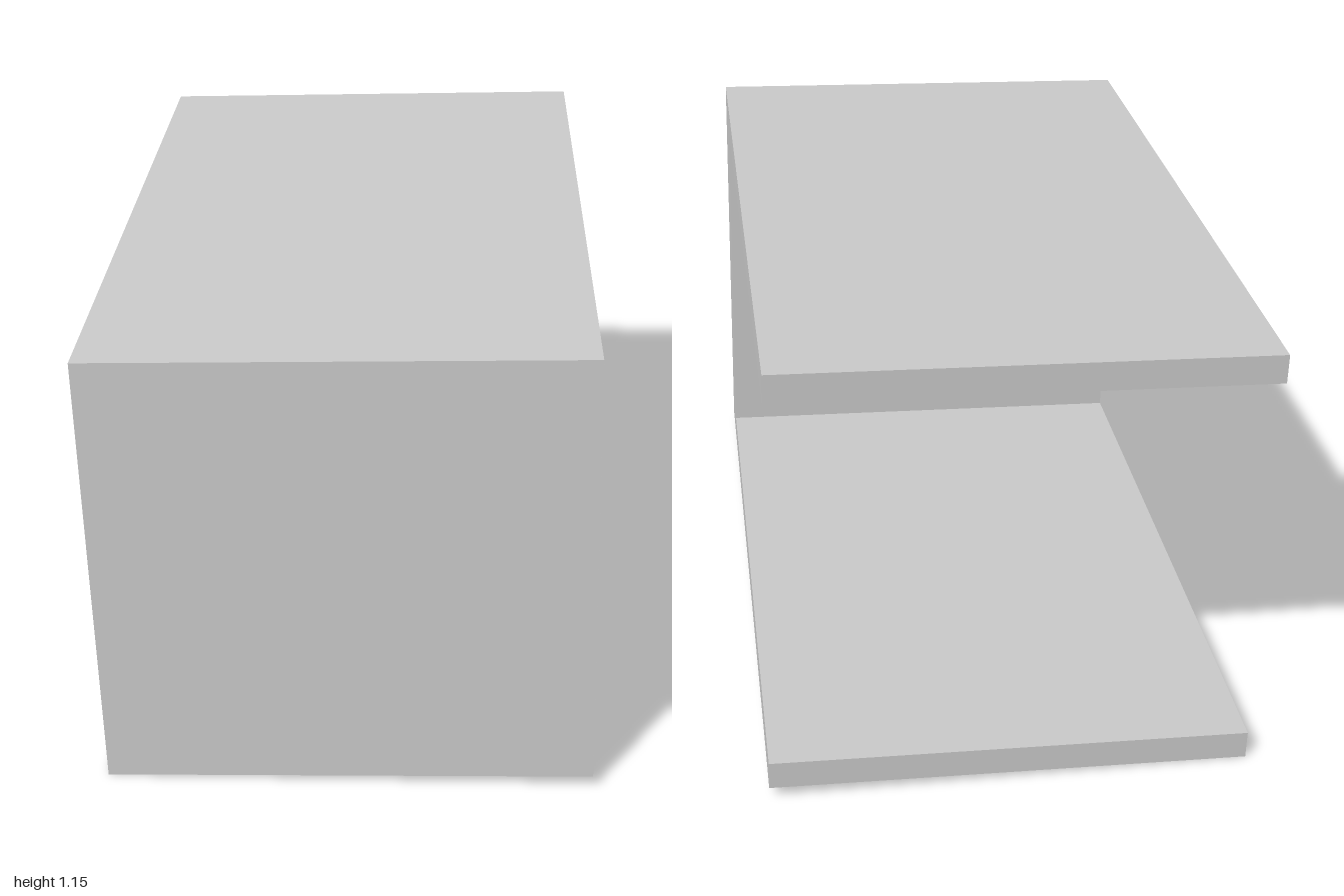
import * as THREE from 'three';

export function createModel() {
  const W = 1.194, H = 1.12, T = 0.072, WALL = 0.182;
  const material = new THREE.MeshStandardMaterial({ color: 0xcccccc, flatShading: true });
  const model = new THREE.Group();

  // C-shaped bracket, leaning slightly about the z axis
  const bracket = new THREE.Group();
  bracket.name = 'bracket';
  bracket.position.y = 0.5765;
  bracket.rotation.z = 0.0277;
  model.add(bracket);

  const addBox = (name, height, depth, y, z) => {
    const mesh = new THREE.Mesh(new THREE.BoxGeometry(W, height, depth), material);
    mesh.name = name;
    mesh.position.set(0, y, z);
    bracket.add(mesh);
  };

  // Thick upright wall at the front
  addBox('frontWall', H, WALL, 0, 1 - WALL / 2);

  // Matching thin plates running back from the wall
  const plateY = (H - T) / 2;
  addBox('topPlate', T, 2 - WALL, plateY, -WALL / 2);
  addBox('bottomPlate', T, 2 - WALL, -plateY, -WALL / 2);

  return model;
}
